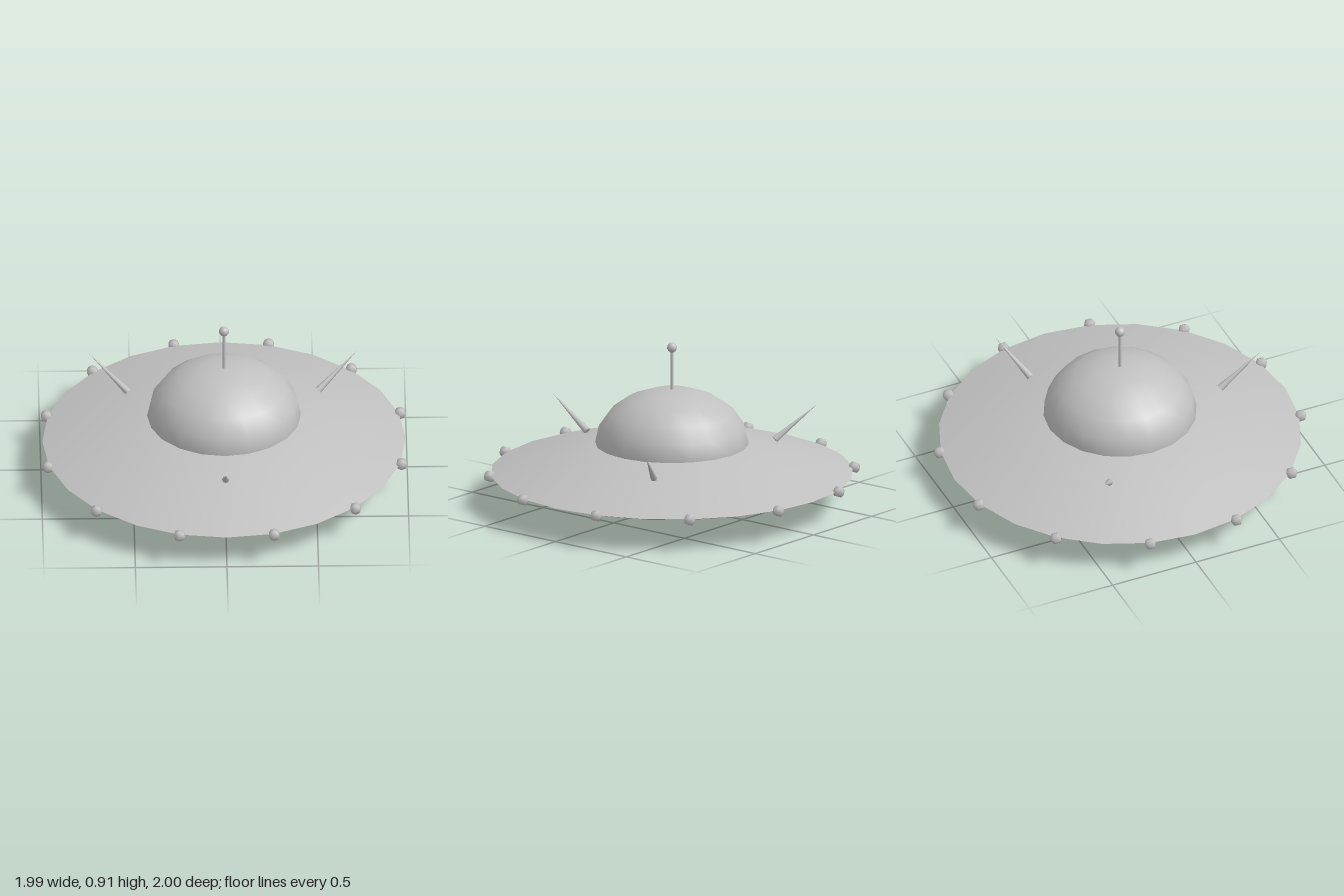
import * as THREE from 'three';

const V2 = (p) => new THREE.Vector2(p[0], p[1]);

export function createModel() {
  const model = new THREE.Group();
  model.name = 'flyingSaucer';
  const grey = new THREE.MeshStandardMaterial({ color: 0xc0c0c0 });
  grey.name = 'light grey';

  const add = (name, geometry, x = 0, y = 0, z = 0) => {
    const mesh = new THREE.Mesh(geometry, grey);
    mesh.name = name;
    mesh.position.set(x, y, z);
    model.add(mesh);
    return mesh;
  };
  const lathe = (points) => new THREE.LatheGeometry(points.map(V2), 24);

  // Saucer: two shells meeting at a sharp rim
  add('lowerHull', lathe([[0, 0.003], [0.15, 0.008], [0.29, 0.025], [0.55, 0.077], [0.8, 0.131], [0.992, 0.187]]));
  add('upperHull', lathe([[0.992, 0.187], [0.8, 0.25], [0.6, 0.304], [0.41, 0.35], [0.3, 0.36]]));

  // Cockpit dome
  const dome = new THREE.SphereGeometry(0.42, 20, 5, 0, Math.PI * 2, 0, Math.PI / 2);
  dome.scale(1, 0.305 / 0.42, 1);
  add('dome', dome, 0, 0.35, 0);

  // Antenna with a ball on top
  add('antennaRod', new THREE.CylinderGeometry(0.009, 0.009, 0.26, 8), 0, 0.75, 0);
  add('antennaBall', new THREE.SphereGeometry(0.028, 10, 8), 0, 0.89, 0);

  // Ring of small lamps around the rim
  const lamp = new THREE.SphereGeometry(0.034, 8, 3);
  lamp.rotateX(Math.PI / 2);
  for (let i = 0; i < 12; i++) {
    const a = ((i + 0.5) * Math.PI) / 6;
    add('rimLamp', lamp, Math.sin(a), 0.187, Math.cos(a));
  }

  // Three spikes leaning outwards
  const base = new THREE.Vector3(0, 0.313, 0.6);
  const tip = new THREE.Vector3(0, 0.487, 0.845);
  const axis = tip.clone().sub(base);
  const spike = new THREE.ConeGeometry(0.02, axis.length(), 8);
  spike.applyQuaternion(
    new THREE.Quaternion().setFromUnitVectors(new THREE.Vector3(0, 1, 0), axis.clone().normalize())
  );
  const mid = base.add(tip).multiplyScalar(0.5);
  spike.translate(mid.x, mid.y, mid.z);
  for (let i = 0; i < 3; i++) {
    add('spike', spike).rotation.y = (i * Math.PI * 2) / 3;
  }

  return model;
}
